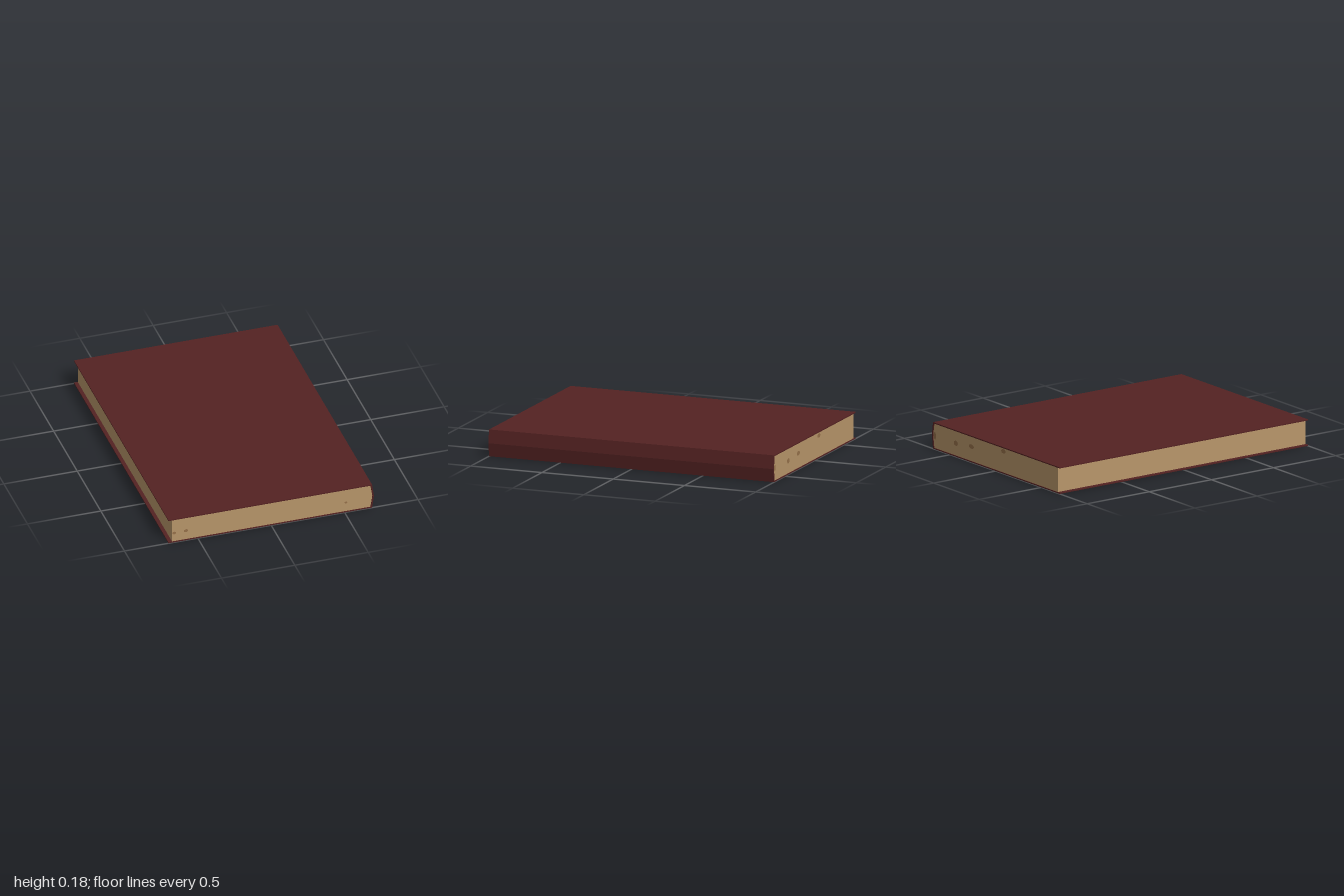
import * as THREE from 'three';

// Extrudes an XY outline along z, centred on z = 0
function prism(points, length) {
  const shape = new THREE.Shape(points.map(([x, y]) => new THREE.Vector2(x, y)));
  const geometry = new THREE.ExtrudeGeometry(shape, { depth: length, bevelEnabled: false });
  return geometry.translate(0, 0, -length / 2);
}

export function createModel() {
  const leather = new THREE.MeshStandardMaterial({ name: 'dark red leather', color: 0x542222 });
  const paper = new THREE.MeshStandardMaterial({ name: 'aged paper', color: 0xb8966a });
  const stain = new THREE.MeshStandardMaterial({ name: 'brown stain', color: 0x96714a });

  const book = new THREE.Group();
  book.name = 'book';
  const add = (name, geometry, material) => {
    const mesh = new THREE.Mesh(geometry, material);
    mesh.name = name;
    book.add(mesh);
    return mesh;
  };

  const height = 0.178, board = 0.007, mid = height / 2;

  // Thin cover boards, overhanging the fore edge
  for (const [name, y] of [['bottomCover', board / 2], ['topCover', height - board / 2]]) {
    add(name, new THREE.BoxGeometry(1.387, board, 2), leather).position.set(-0.0065, y, 0);
  }

  // Spine: a shallow ridge wrapped round the bound edge
  add('spine', prism([
    [0.676, 0], [0.687, 0], [0.7, mid], [0.687, height], [0.676, height], [0.69, mid],
  ], 2), leather);

  // Page block, bulging into the spine
  add('pages', prism([
    [-0.675, board], [0.677, board], [0.69, mid], [0.677, height - board], [-0.675, height - board],
  ], 1.992), paper);

  // Small flat age spots on the page edges: x, y, width, height
  const spots = {
    front: [[-0.66, 0.07, 0.025, 0.02], [-0.58, 0.073, 0.03, 0.022], [0.51, 0.074, 0.02, 0.015]],
    back: [[0.67, 0.09, 0.025, 0.05], [0.44, 0.09, 0.045, 0.035], [0.27, 0.105, 0.055, 0.03], [-0.08, 0.15, 0.05, 0.03]],
  };
  for (const [side, list] of Object.entries(spots)) {
    for (const [x, y, w, h] of list) {
      const spot = add(side + 'PageSpot', new THREE.CircleGeometry(0.5, 10), stain);
      spot.scale.set(w, h, 1);
      spot.position.set(x, y, side === 'front' ? 0.998 : -0.998);
      if (side === 'back') spot.rotation.y = Math.PI;
    }
  }
  return book;
}
